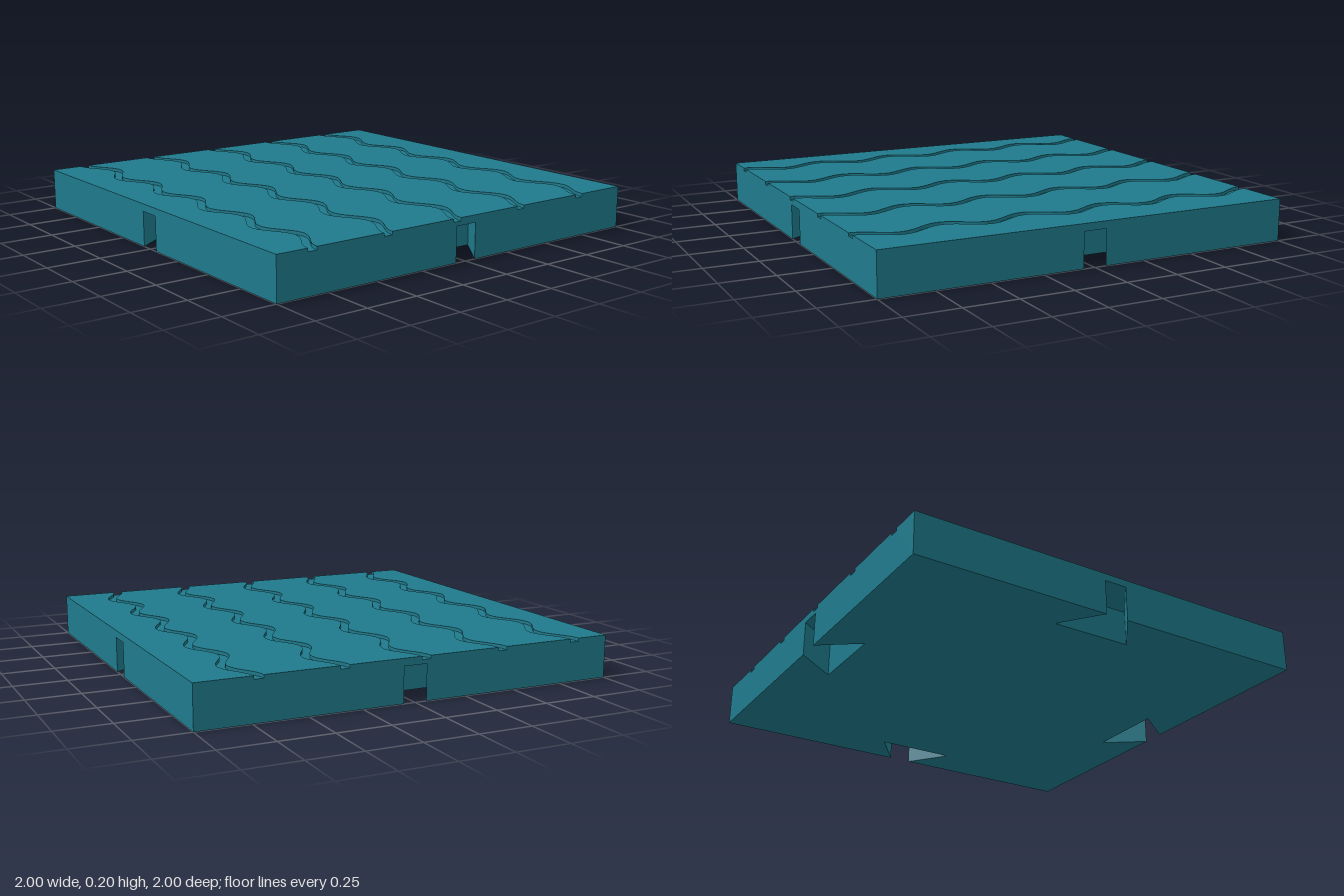
import * as THREE from 'three';
import { mergeGeometries, toCreasedNormals } from 'three/addons/utils/BufferGeometryUtils.js';

const HEIGHT = 0.2;
const GROOVE_FLOOR = 0.185, GROOVE_HALF = 0.0215, WAVE = 0.04, PERIOD = 0.4;
const GROOVES = [0, 1, 2, 3, 4].map((i) => -0.76 + 0.3865 * i);
const SOCKET_TOP = 0.165, NECK = 0.055, FLARE = 0.195, DEPTH = 0.19;
const SEGMENTS = 120;

// Dovetail socket outline in [x, z] on the front edge
const SOCKET = [[-NECK, 1], [-FLARE, 1 - DEPTH], [FLARE, 1 - DEPTH], [NECK, 1]];

// Quarter turn about y, repeated
function turn([x, z], times) {
  for (let i = 0; i < times; i++) [x, z] = [z, -x];
  return [x, z];
}

// Wavy line in [x, z], running towards +x
function wave(z) {
  return Array.from({ length: SEGMENTS + 1 }, (_, i) => {
    const x = -1 + (2 * i) / SEGMENTS;
    return [x, z - WAVE * Math.cos((2 * Math.PI * x) / PERIOD)];
  });
}

function polygon(points) {
  return new THREE.ShapeGeometry(new THREE.Shape(points.map(([a, b]) => new THREE.Vector2(a, b))));
}

// Horizontal face from [x, z] points, facing up or down
function level(points, y, up) {
  const geo = polygon(points.map(([x, z]) => [x, up ? -z : z]));
  return geo.rotateX(up ? -Math.PI / 2 : Math.PI / 2).translate(0, y, 0);
}

// Upright ribbon along an [x, z] path; a path towards +x faces +z
function wall(path, y0, y1) {
  const geo = new THREE.PlaneGeometry(1, 1, path.length - 1, 1);
  const pos = geo.attributes.position;
  for (let i = 0; i < pos.count; i++) {
    const [x, z] = path[i % path.length];
    pos.setXYZ(i, x, i < path.length ? y1 : y0, z);
  }
  geo.computeVertexNormals();
  return geo;
}

// Outer side with the socket mouth, and groove ends cut at the given places
function side(angle, grooveEnds) {
  const points = [
    [-1, 0], [-NECK, 0], [-NECK, SOCKET_TOP], [NECK, SOCKET_TOP], [NECK, 0], [1, 0], [1, HEIGHT],
  ];
  for (const u of [...grooveEnds].sort((a, b) => b - a)) {
    const a = u + GROOVE_HALF, b = u - GROOVE_HALF;
    points.push([a, HEIGHT], [a, GROOVE_FLOOR], [b, GROOVE_FLOOR], [b, HEIGHT]);
  }
  points.push([-1, HEIGHT]);
  return polygon(points).translate(0, 0, 1).rotateY(angle);
}

export function createModel() {
  const group = new THREE.Group();
  group.name = 'wavyTile';
  const material = new THREE.MeshStandardMaterial({ color: 0x1f7a8c });
  const add = (name, geometries) => {
    const geo = toCreasedNormals(mergeGeometries(geometries), 0.5);
    const mesh = new THREE.Mesh(geo, material);
    mesh.name = name;
    group.add(mesh);
  };

  // Top surface, in strips between the grooves
  const strips = [];
  for (let i = 0; i <= GROOVES.length; i++) {
    const far = i === 0 ? [[-1, -1], [1, -1]] : wave(GROOVES[i - 1] + GROOVE_HALF);
    const near = i === GROOVES.length ? [[-1, 1], [1, 1]] : wave(GROOVES[i] - GROOVE_HALF);
    strips.push(level([...far, ...near.reverse()], HEIGHT, true));
  }
  add('topSurface', strips);

  // Wavy grooves: floor and two walls each
  for (const z of GROOVES) {
    const far = wave(z - GROOVE_HALF);
    const near = wave(z + GROOVE_HALF).reverse();
    add('waveGroove', [
      level([...far, ...near], GROOVE_FLOOR, true),
      wall(far, GROOVE_FLOOR, HEIGHT),
      wall(near, GROOVE_FLOOR, HEIGHT),
    ]);
  }

  // Outer sides
  const ends = GROOVES.map((z) => z + WAVE);
  add('outerSides', [
    side(0, []),
    side(Math.PI, []),
    side(Math.PI / 2, ends.map((z) => -z)),
    side(-Math.PI / 2, ends),
  ]);

  // Underside, and a dovetail socket in the middle of every edge
  const outline = [];
  for (let k = 0; k < 4; k++) {
    const socket = SOCKET.map((p) => turn(p, k));
    outline.push(turn([-1, 1], k), ...socket);
    add('dovetailSocket', [wall(socket, 0, SOCKET_TOP), level(socket, SOCKET_TOP, false)]);
  }
  add('underside', [level(outline, 0, false)]);

  return group;
}
